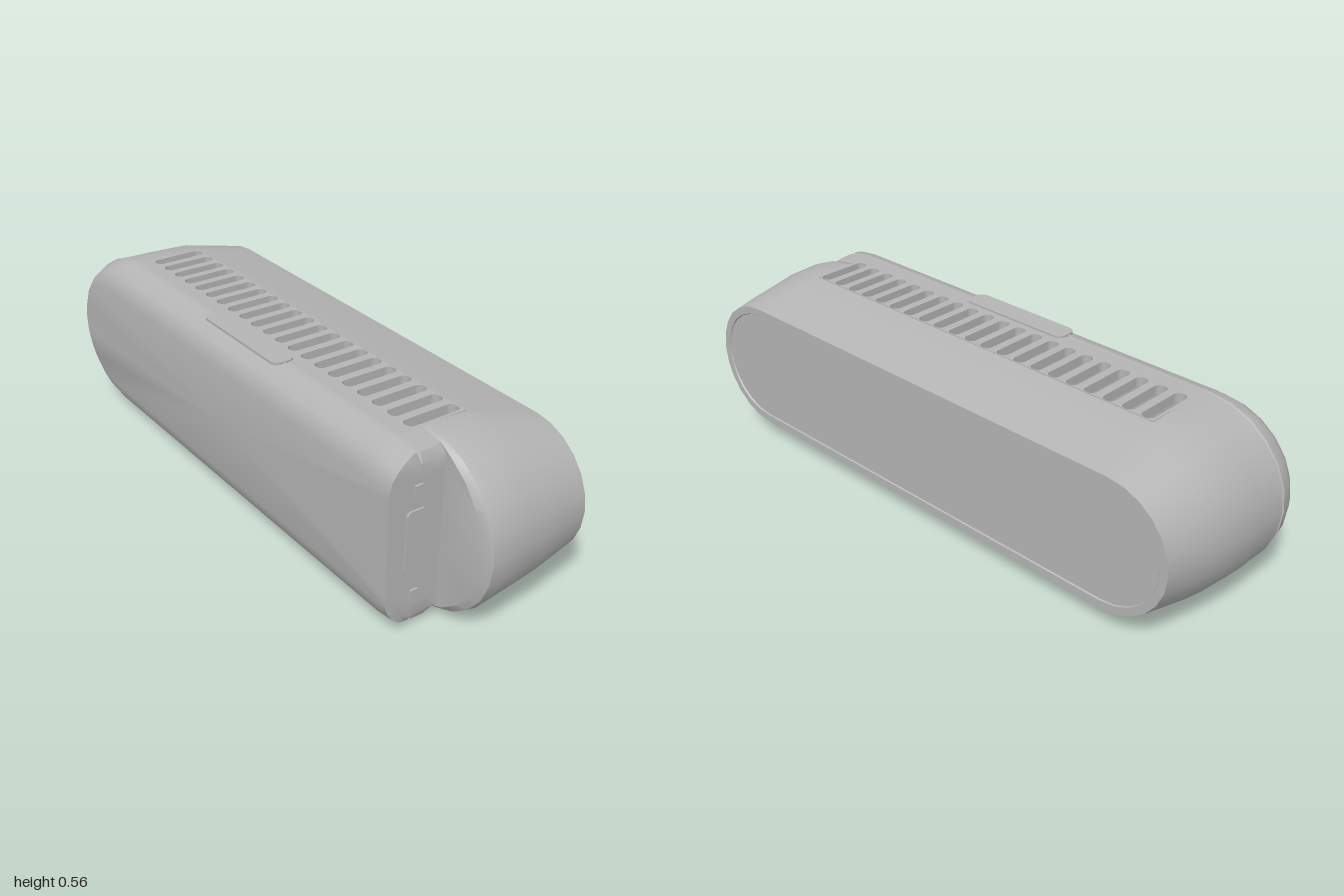
import * as THREE from 'three';
import { toCreasedNormals } from 'three/addons/utils/BufferGeometryUtils.js';

const grey = new THREE.MeshStandardMaterial({ color: 0xb4b4b4, side: THREE.DoubleSide });
grey.name = 'casing grey';

const ARC = 12;       // segments in each rounded end
const PANEL = 0.7;    // half length of the vent openings
const VENT_X0 = -0.135, VENT_X1 = 0.05;

// Cross-sections along x: [x, bottom, top, back, front, flat front limit]
const sections = [
  [-0.28, 0.11, 0.47, -0.945, 0.96, 0.8],
  [-0.272, 0.08, 0.505, -0.957, 0.97, 0.8],
  [-0.255, 0.052, 0.53, -0.97, 0.98, 0.8],
  [-0.225, 0.024, 0.551, -0.985, 0.99, 0.8],
  [-0.188, 0.011, 0.562, -0.993, 0.99, 0.8],
  [-0.185, 0.016, 0.557, -0.988, 0.985, 0.8],
  [-0.18, 0.016, 0.557, -0.988, 0.985, 0.8],
  [-0.177, 0.011, 0.56, -0.993, 0.99, 0.8],
  [VENT_X0, 0.01, 0.559, -0.992, 0.99, 0.8],
  [-0.1, 0.01, 0.559, -0.99, 0.98, 0.8],
  [-0.1, 0.01, 0.559, -0.99, 0.96, 2],
  [-0.085, 0.008, 0.559, -0.99, 0.99, 2],
  [-0.06, 0.008, 0.559, -0.99, 0.995, 2],
  [VENT_X1, 0.018, 0.556, -0.982, 0.985, 2],
  [0.12, 0.031, 0.538, -0.97, 0.978, 2],
  [0.2, 0.053, 0.52, -0.955, 0.967, 2],
  [0.277, 0.075, 0.5, -0.94, 0.955, 2],
  [0.277, 0.1, 0.475, -0.915, 0.93, 2],
  [0.273, 0.103, 0.472, -0.912, 0.927, 2],
];

// One rounded loop: back arc, top, front arc, bottom
function loop([x, y0, y1, zb, zf, limit]) {
  const h = (y1 - y0) / 2, cy = (y0 + y1) / 2, pts = [];
  const add = (y, z) => pts.push(new THREE.Vector3(x, y, Math.min(z, limit)));
  for (let i = 0; i <= ARC; i++) {
    const a = -Math.PI / 2 + Math.PI * i / ARC;
    add(cy + h * Math.sin(a), zb + h - h * Math.cos(a));
  }
  add(y1, -PANEL); add(y1, PANEL);
  for (let i = 0; i <= ARC; i++) {
    const a = Math.PI / 2 - Math.PI * i / ARC;
    add(cy + h * Math.sin(a), zf - h + h * Math.cos(a));
  }
  add(y0, PANEL); add(y0, -PANEL);
  return pts;
}

function shellGeometry() {
  const loops = sections.map(loop), pos = [], n = loops[0].length;
  const t = new THREE.Triangle();
  const tri = (a, b, c) => {
    if (t.set(a, b, c).getArea() > 1e-8) for (const p of [a, b, c]) pos.push(p.x, p.y, p.z);
  };
  for (let i = 0; i < loops.length - 1; i++) {
    const inVent = sections[i][0] >= VENT_X0 && sections[i + 1][0] <= VENT_X1;
    for (let j = 0; j < n; j++) {
      // Leave openings in the top and the bottom for the vent panels
      if (inVent && (j === ARC + 1 || j === n - 2)) continue;
      const k = (j + 1) % n;
      tri(loops[i][j], loops[i][k], loops[i + 1][k]);
      tri(loops[i][j], loops[i + 1][k], loops[i + 1][j]);
    }
  }
  // End faces
  for (const [ring, flip] of [[loops[0], true], [loops[loops.length - 1], false]]) {
    const c = new THREE.Vector3(ring[0].x, 0.29, 0);
    for (let j = 0; j < n; j++) {
      const a = ring[j], b = ring[(j + 1) % n];
      if (flip) tri(c, b, a); else tri(c, a, b);
    }
  }
  const g = new THREE.BufferGeometry();
  g.setAttribute('position', new THREE.Float32BufferAttribute(pos, 3));
  return toCreasedNormals(g, 0.55);
}

// Rounded rectangle outline
function rounded(path, x0, x1, y0, y1, r) {
  path.absarc(x1 - r, y1 - r, r, 0, Math.PI / 2);
  path.absarc(x0 + r, y1 - r, r, Math.PI / 2, Math.PI);
  path.absarc(x0 + r, y0 + r, r, Math.PI, Math.PI * 1.5);
  path.absarc(x1 - r, y0 + r, r, Math.PI * 1.5, Math.PI * 2);
  path.closePath();
  return path;
}

// Plate lying level, with slots at the given z positions
function levelPlate(x0, x1, halfZ, r, depth, slots = []) {
  const shape = rounded(new THREE.Shape(), x0, x1, -halfZ, halfZ, r);
  for (const z of slots) shape.holes.push(rounded(new THREE.Path(), -0.13, 0.048, z - 0.02, z + 0.02, 0.018));
  const g = new THREE.ExtrudeGeometry(shape, { depth, bevelEnabled: false, curveSegments: 4 });
  return g.rotateX(-Math.PI / 2);
}

export function createModel() {
  const model = new THREE.Group();
  model.name = 'ventedCasing';
  const add = (name, geometry, x = 0, y = 0, z = 0) => {
    const m = new THREE.Mesh(geometry, grey);
    m.name = name;
    m.position.set(x, y, z);
    model.add(m);
    return m;
  };

  add('casingShell', shellGeometry());

  // Vent grilles
  const slots = Array.from({ length: 21 }, (_, i) => (i - 10) * 0.067);
  add('topGrille', levelPlate(VENT_X0, VENT_X1, PANEL, 0.002, 0.03, slots), 0, 0.529, 0);
  const lower = slots.filter(z => Math.abs(z) > 0.1 && Math.abs(z) < 0.65);
  add('bottomGrille', levelPlate(-0.17, 0.08, 0.705, 0.02, 0.028, lower), 0, 0.001, 0);
  add('bottomLabelPlate', new THREE.BoxGeometry(0.14, 0.004, 0.16), -0.04, 0.002, 0);

  // Latch on the top seam
  add('topLatch', levelPlate(-0.225, -0.15, 0.2, 0.025, 0.008), 0, 0.557, 0);

  // Socket cover and two catches on the stepped front wall
  const cover = rounded(new THREE.Shape(), -0.222, -0.155, 0.19, 0.39, 0.015);
  add('socketCover', new THREE.ExtrudeGeometry(cover, { depth: 0.006, bevelEnabled: false, curveSegments: 4 }), 0, 0, 0.8);
  for (const y of [0.12, 0.45]) add('frontCatch', new THREE.BoxGeometry(0.026, 0.03, 0.008), -0.187, y, 0.803);

  return model;
}
